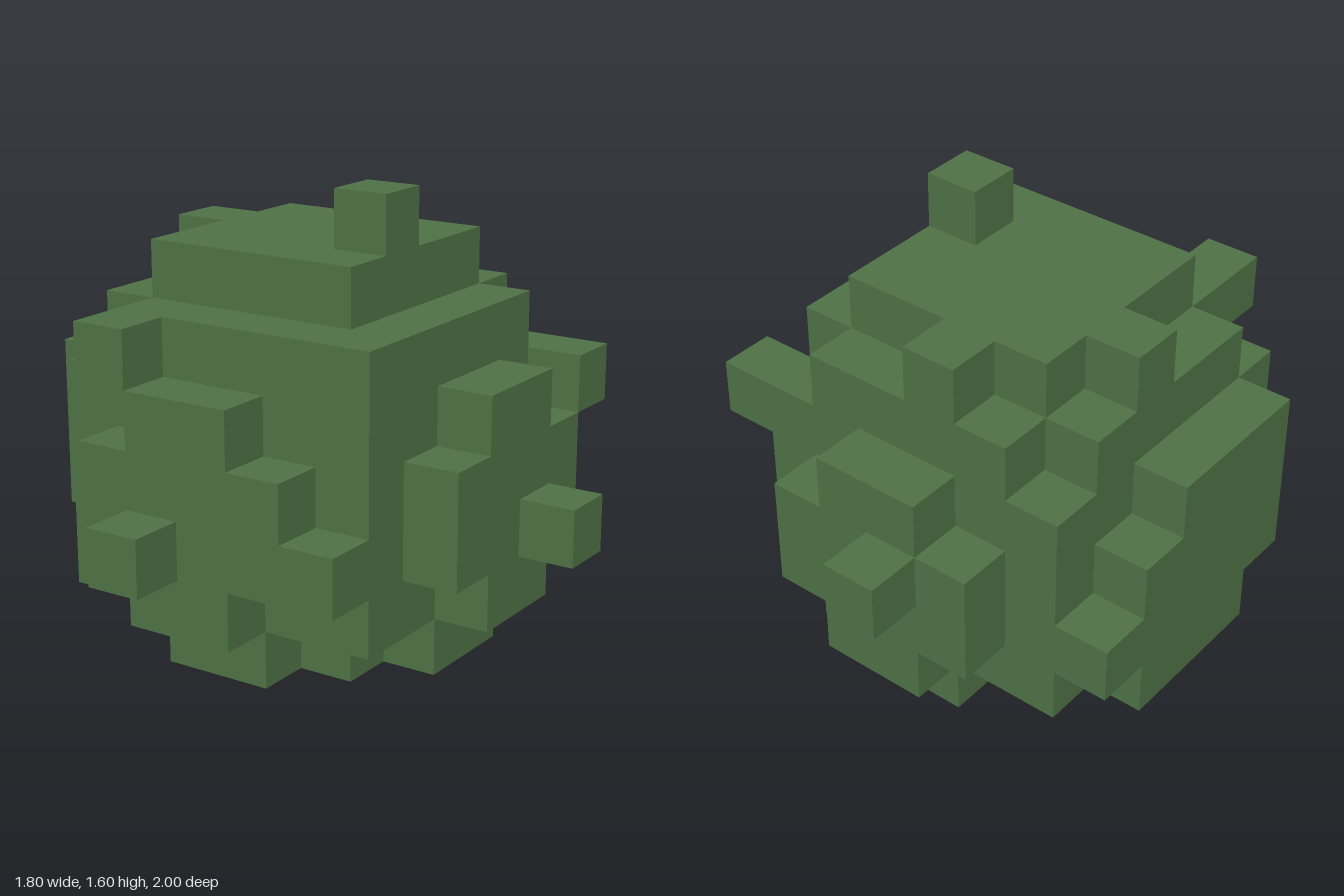
import * as THREE from 'three';

const S = 0.2; // block size
const ORIGIN = [-0.9, 0, -1];

// Each part is a list of block boxes: [x0, x1, y0, y1, z0, z1] in whole blocks
const PARTS = {
  base: [[3, 5, 0, 1, 2, 8], [2, 6, 0, 1, 3, 7], [1, 7, 0, 1, 4, 6]],
  core: [[1, 7, 1, 5, 2, 8]],
  shoulder: [[2, 6, 5, 6, 2, 3], [1, 7, 5, 6, 3, 7], [2, 7, 5, 6, 7, 8]],
  crown: [[2, 6, 6, 7, 3, 7], [1, 2, 6, 7, 4, 5], [3, 4, 6, 7, 2, 3]],
  topSprig: [[5, 6, 7, 8, 5, 6]],
  frontFoliage: [[3, 5, 1, 5, 8, 9], [2, 6, 2, 4, 8, 9], [6, 7, 2, 3, 8, 9]],
  frontUpperSprig: [[2, 3, 5, 6, 8, 9]],
  frontSprig: [[3, 4, 2, 3, 9, 10]],
  backFoliage: [[3, 5, 1, 5, 1, 2], [2, 6, 2, 4, 1, 2]],
  backSprig: [[3, 4, 3, 4, 0, 1]],
  leftFoliage: [[7, 8, 1, 5, 4, 6], [7, 8, 2, 4, 3, 7]],
  leftBackSprig: [[7, 8, 4, 5, 2, 3]],
  leftSprig: [[8, 9, 2, 3, 4, 5]],
  rightFoliage: [[0, 1, 1, 2, 3, 6], [0, 1, 2, 3, 2, 7], [0, 1, 3, 4, 3, 7], [0, 1, 4, 5, 4, 7]],
};

// All block positions covered by a part
function cellsOf(boxes) {
  const cells = new Map();
  for (const [x0, x1, y0, y1, z0, z1] of boxes)
    for (let x = x0; x < x1; x++)
      for (let y = y0; y < y1; y++)
        for (let z = z0; z < z1; z++) cells.set([x, y, z].join(), [x, y, z]);
  return cells;
}

// Outer skin of a part: only faces with no neighbouring block, open on the ground
function skin(cells, filled) {
  const pos = [], nor = [];
  for (const c of cells.values())
    for (let d = 0; d < 3; d++)
      for (const s of [1, -1]) {
        const next = [...c];
        next[d] += s;
        if (filled.has(next.join()) || next[1] < 0) continue;
        const u = (d + 1) % 3, v = (d + 2) % 3;
        const corners = [[0, 0], [1, 0], [1, 1], [0, 1]].map(([a, b]) => {
          const p = [...c];
          p[d] += s > 0 ? 1 : 0;
          p[u] += a;
          p[v] += b;
          return p.map((n, i) => n * S + ORIGIN[i]);
        });
        if (s < 0) corners.reverse();
        const n = [0, 0, 0];
        n[d] = s;
        for (const i of [0, 1, 2, 0, 2, 3]) {
          pos.push(...corners[i]);
          nor.push(...n);
        }
      }
  const g = new THREE.BufferGeometry();
  g.setAttribute('position', new THREE.Float32BufferAttribute(pos, 3));
  g.setAttribute('normal', new THREE.Float32BufferAttribute(nor, 3));
  return g;
}

export function createModel() {
  const leaf = new THREE.MeshStandardMaterial({ color: 0x4f7346, side: THREE.DoubleSide });
  leaf.name = 'leafGreen';

  const group = new THREE.Group();
  group.name = 'bush';
  const parts = Object.entries(PARTS).map(([name, boxes]) => [name, cellsOf(boxes)]);
  const filled = new Set(parts.flatMap(([, cells]) => [...cells.keys()]));

  for (const [name, cells] of parts) {
    const mesh = new THREE.Mesh(skin(cells, filled), leaf);
    mesh.name = name;
    group.add(mesh);
  }
  return group;
}
